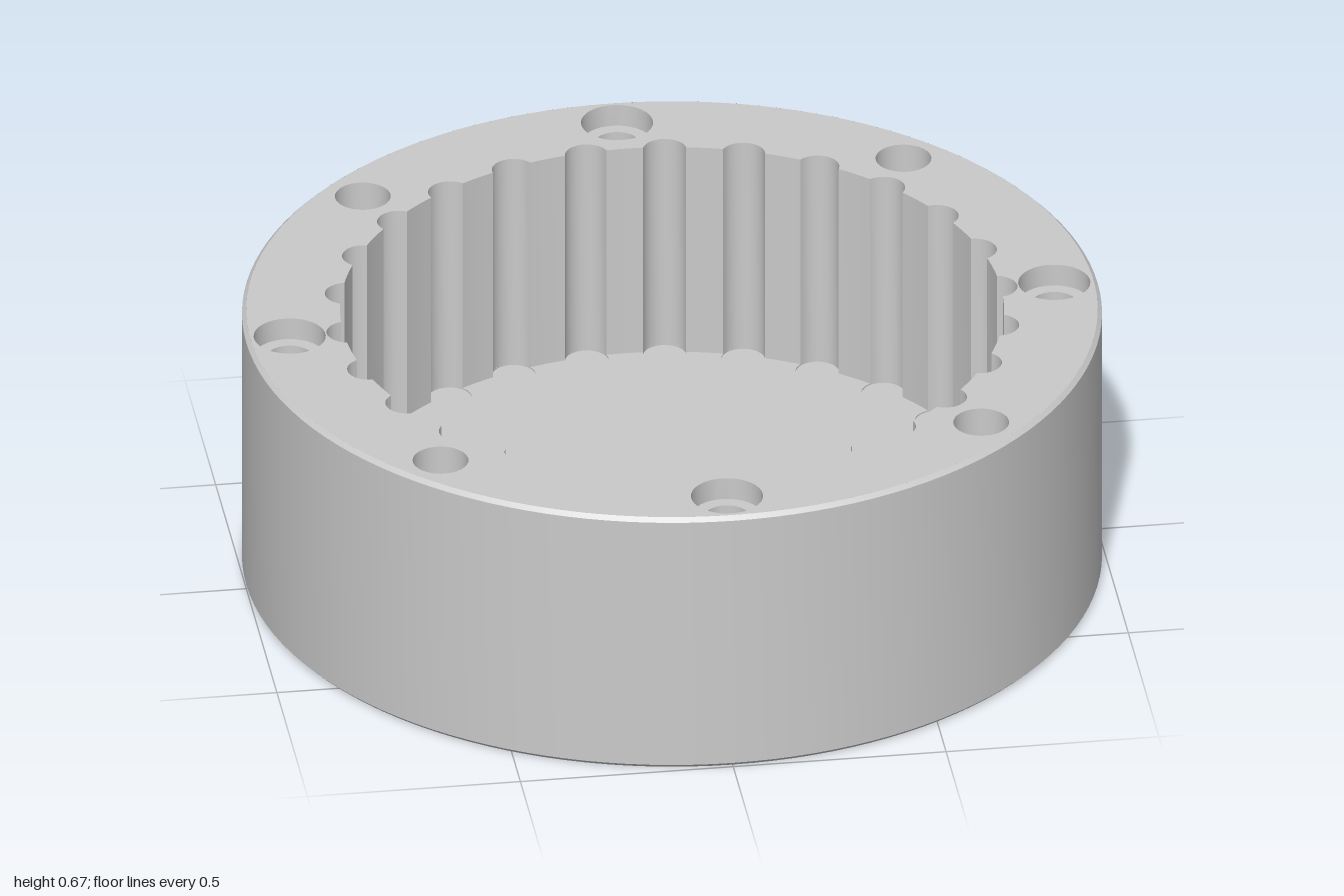
import * as THREE from 'three';
import { toCreasedNormals } from 'three/addons/utils/BufferGeometryUtils.js';

const HEIGHT = 0.665, CHAMFER = 0.01;
const FLOOR = 0.12, RECESS = 0.068;          // cavity floor and underside recess heights
const PINS = 26, PIN_CIRCLE = 0.76, PIN_R = 0.051, CAVITY_R = 0.772;
const SEAT_Y = FLOOR - 0.004;                // shallow round seats at the foot of the grooves
const BORE_R = 0.107, RECESS_R = 0.31;
const HOLE_CIRCLE = 0.898;
const BOLT_R = 0.053, SINK_R = 0.084, SINK_Y = HEIGHT - 0.055;
const BLIND_R = 0.065, BLIND_Y = HEIGHT - 0.25;
const EDGE = 0.008;                          // bevel on the lower hole edges

// Points of a circle
function circle(r, cx = 0, cy = 0, n = 32) {
  return Array.from({ length: n }, (_, i) => {
    const a = ((i + 0.5) / n) * Math.PI * 2;
    return new THREE.Vector2(cx + r * Math.cos(a), cy + r * Math.sin(a));
  });
}

// Evenly spaced centres on a circle
function ring(n, r, start = 0) {
  return Array.from({ length: n }, (_, i) => {
    const a = start + (i / n) * Math.PI * 2;
    return [r * Math.cos(a), r * Math.sin(a)];
  });
}

// Cavity outline: a circle with round bites, bulging outwards or inwards
function cavityOutline(outwards) {
  const pts = [];
  const step = (Math.PI * 2) / PINS;
  const phi = Math.acos((PIN_CIRCLE ** 2 + CAVITY_R ** 2 - PIN_R ** 2) / (2 * PIN_CIRCLE * CAVITY_R));
  const half = Math.atan2(CAVITY_R * Math.sin(phi), CAVITY_R * Math.cos(phi) - PIN_CIRCLE);
  const sweep = outwards ? 2 * half : 2 * half - 2 * Math.PI;
  for (let i = 0; i < PINS; i++) {
    const a = i * step;
    for (let k = 0; k <= 12; k++) {
      const b = a - half + (sweep * k) / 12;
      pts.push(new THREE.Vector2(
        PIN_CIRCLE * Math.cos(a) + PIN_R * Math.cos(b),
        PIN_CIRCLE * Math.sin(a) + PIN_R * Math.sin(b)));
    }
    for (let k = 1; k < 4; k++) {
      const b = a + phi + ((step - 2 * phi) * k) / 4;
      pts.push(new THREE.Vector2(CAVITY_R * Math.cos(b), CAVITY_R * Math.sin(b)));
    }
  }
  return pts;
}

// Horizontal face with holes
function face(outline, holes, y, up = true) {
  const shape = new THREE.Shape(outline);
  holes.forEach((h) => shape.holes.push(new THREE.Path(h)));
  const g = new THREE.ShapeGeometry(shape);
  g.rotateX(up ? -Math.PI / 2 : Math.PI / 2);
  return g.translate(0, y, 0);
}

// Wall between a lower outline and an upper one, facing inwards
function wall(low, y0, y1, high = low) {
  const pos = [];
  low.forEach((p, i) => {
    const j = (i + 1) % low.length;
    const a = [p.x, y0, -p.y], b = [low[j].x, y0, -low[j].y];
    const c = [high[j].x, y1, -high[j].y], d = [high[i].x, y1, -high[i].y];
    pos.push(...a, ...c, ...b, ...a, ...d, ...c);
  });
  const g = new THREE.BufferGeometry();
  g.setAttribute('position', new THREE.Float32BufferAttribute(pos, 3));
  g.computeVertexNormals();
  return toCreasedNormals(g, 0.6);
}

export function createModel() {
  const model = new THREE.Group();
  model.name = 'ringHousing';
  const grey = new THREE.MeshStandardMaterial({ color: 0xcacaca, side: THREE.DoubleSide });
  grey.name = 'machinedGrey';
  const add = (name, geometry) => {
    const mesh = new THREE.Mesh(geometry, grey);
    mesh.name = name;
    model.add(mesh);
  };

  const cavity = cavityOutline(true);
  const rim = circle(1 - CHAMFER, 0, 0, 128);
  const bore = circle(BORE_R, 0, 0, 48);
  const boreEdge = circle(BORE_R + EDGE, 0, 0, 48);
  const recess = circle(RECESS_R, 0, 0, 64);
  const bolts = ring(4, HOLE_CIRCLE);
  const blinds = ring(4, HOLE_CIRCLE, Math.PI / 4);

  // Outer shell with small chamfers
  const profile = [[1 - CHAMFER, 0], [1, CHAMFER], [1, HEIGHT - CHAMFER], [1 - CHAMFER, HEIGHT]]
    .map(([x, y]) => new THREE.Vector2(x, y));
  add('outerShell', toCreasedNormals(new THREE.LatheGeometry(profile, 128), 0.5));

  // Top and bottom faces
  add('topFace', face(rim, [
    cavity,
    ...bolts.map(([x, y]) => circle(SINK_R, x, y)),
    ...blinds.map(([x, y]) => circle(BLIND_R, x, y)),
  ], HEIGHT));
  add('bottomFace', face(rim, [
    recess,
    ...bolts.map(([x, y]) => circle(BOLT_R + EDGE, x, y)),
  ], 0, false));

  // Grooved cavity, with a shallow seat at the foot of each groove
  add('groovedWall', wall(cavity, FLOOR, HEIGHT));
  add('cavityFloor', face(cavityOutline(false), [bore], FLOOR));
  ring(PINS, PIN_CIRCLE).forEach(([x, y]) => {
    const seat = circle(PIN_R, x, y);
    add('grooveSeat', face(seat, [], SEAT_Y));
    add('grooveSeatWall', wall(seat, SEAT_Y, FLOOR));
  });

  // Centre bore and underside recess
  add('centreBore', wall(bore, RECESS + EDGE, FLOOR));
  add('centreBoreBevel', wall(boreEdge, RECESS, RECESS + EDGE, bore));
  add('recessWall', wall(recess, 0, RECESS));
  add('recessFace', face(recess, [boreEdge], RECESS, false));

  // Counterbored through holes
  bolts.forEach(([x, y]) => {
    const hole = circle(BOLT_R, x, y), sink = circle(SINK_R, x, y);
    add('boltHole', wall(hole, EDGE, SINK_Y));
    add('boltHoleBevel', wall(circle(BOLT_R + EDGE, x, y), 0, EDGE, hole));
    add('counterboreWall', wall(sink, SINK_Y, HEIGHT));
    add('counterboreLedge', face(sink, [hole], SINK_Y));
  });

  // Blind holes between them
  blinds.forEach(([x, y]) => {
    const hole = circle(BLIND_R, x, y);
    add('blindHoleWall', wall(hole, BLIND_Y, HEIGHT));
    add('blindHoleFloor', face(hole, [], BLIND_Y));
  });

  return model;
}
